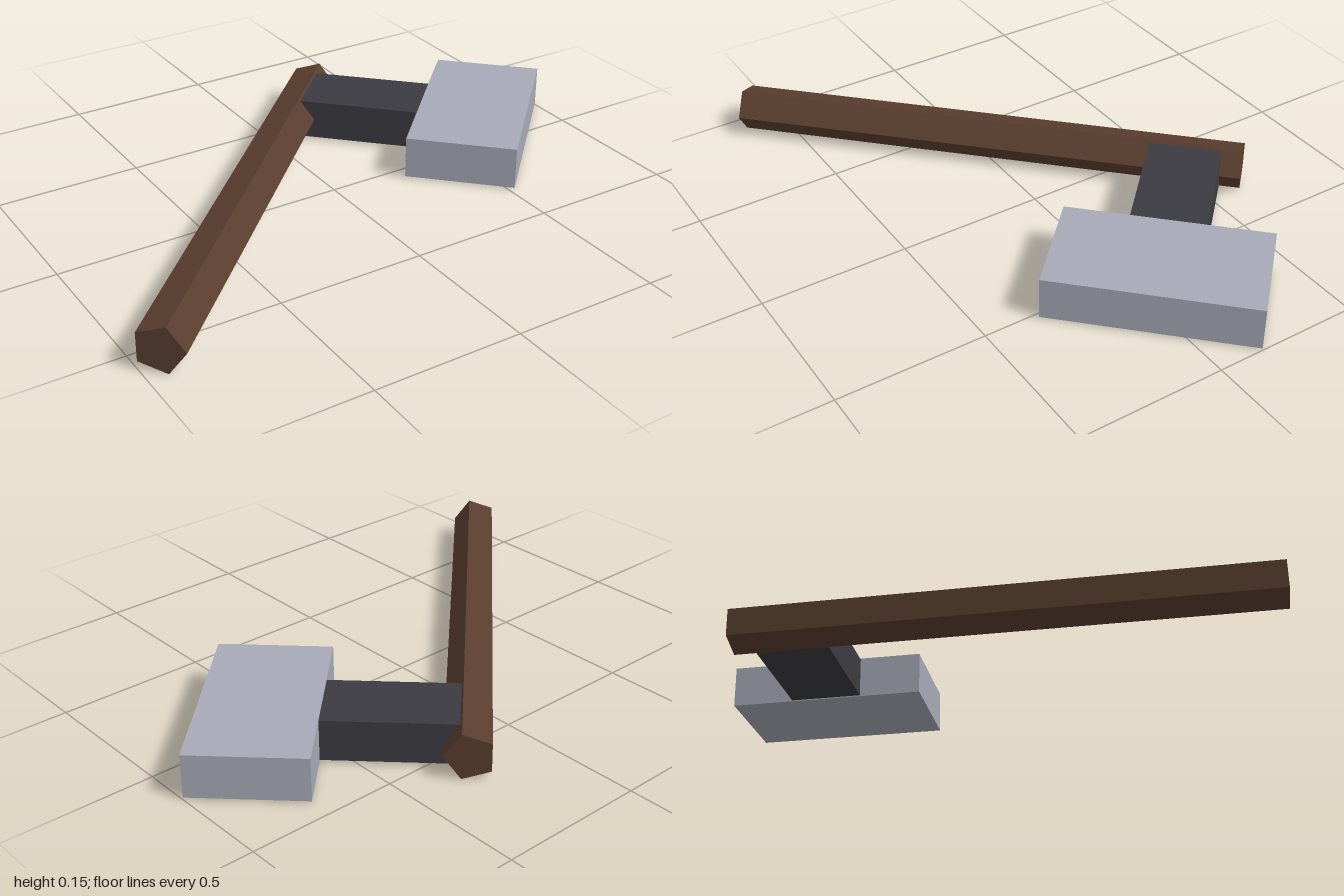
import * as THREE from 'three';

export function createModel() {
  const model = new THREE.Group();
  model.name = 'hammer';

  const material = (name, color) => {
    const m = new THREE.MeshStandardMaterial({ color, flatShading: true });
    m.name = name;
    return m;
  };
  const wood = material('dark wood', 0x5a3e2f);
  const iron = material('dark iron', 0x3c3b41);
  const steel = material('pale steel', 0xa7abb7);

  // The tool lies flat, turned 45 degrees: local x runs along the handle, local z towards the head
  const tool = new THREE.Group();
  tool.name = 'tool';
  tool.rotation.y = Math.PI / 4;
  model.add(tool);

  const add = (name, geometry, mat, x, y, z) => {
    const mesh = new THREE.Mesh(geometry, mat);
    mesh.name = name;
    mesh.position.set(x, y, z);
    tool.add(mesh);
  };

  // Five-sided handle with one edge facing the head
  const midY = 0.077;
  const shaft = new THREE.CylinderGeometry(0.081, 0.081, 1.787, 5).rotateZ(Math.PI / 2);
  add('handle', shaft, wood, -0.222, midY, -0.235);

  // Neck, sunk into the handle, and the block head
  add('neck', new THREE.BoxGeometry(0.247, 0.138, 0.45), iron, 0.478, midY, -0.005);
  add('head', new THREE.BoxGeometry(0.676, 0.145, 0.376), steel, 0.479, midY, 0.406);

  return model;
}
